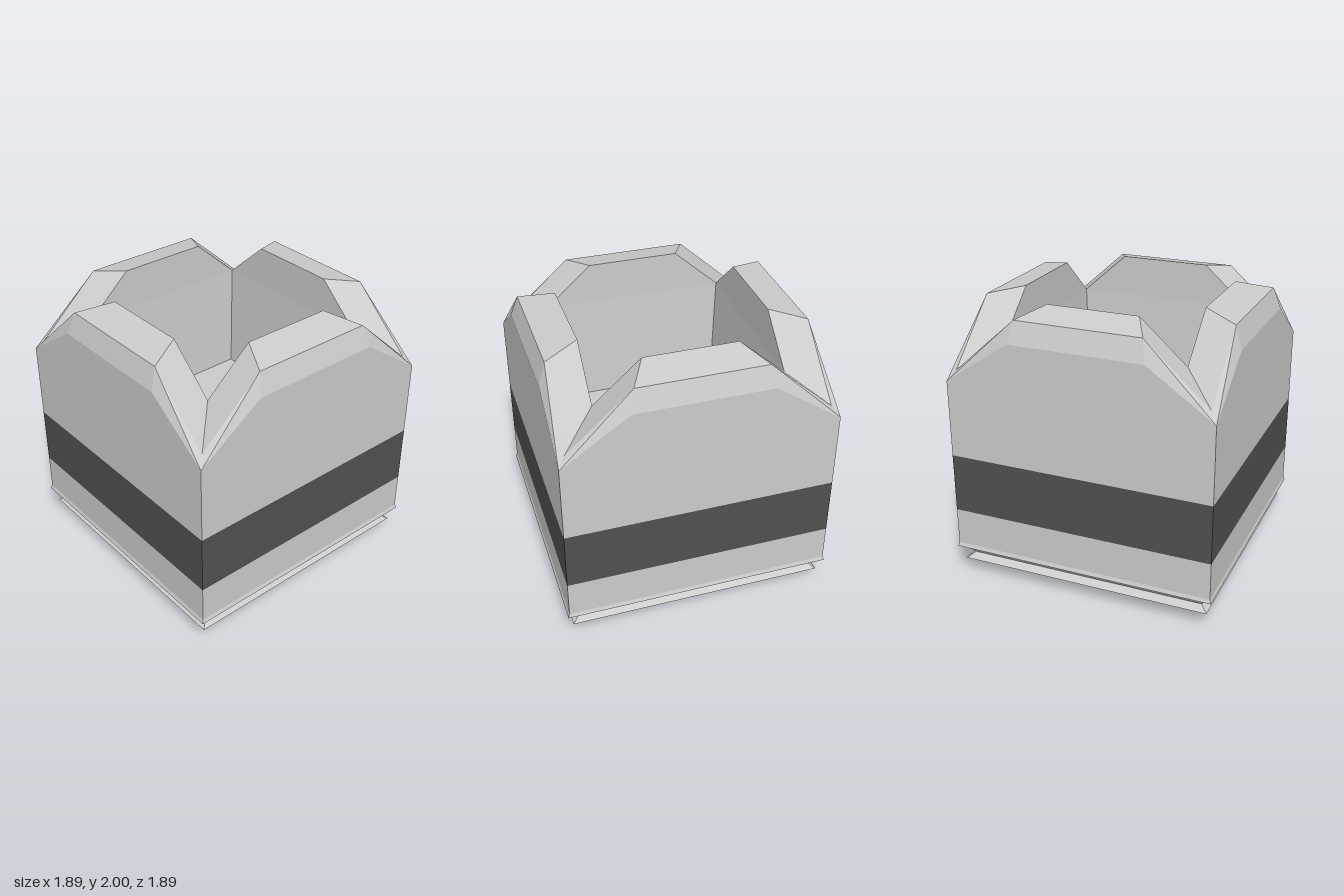
import * as THREE from 'three';

// A row crosses one side of the block: half-width at the corner and its height,
// then half-width of the raised middle and its height.
const row = (corner, yCorner, mid = corner / 2, yMid = yCorner) => [
  [-corner, yCorner, corner],
  [-mid, yMid, corner],
  [mid, yMid, corner],
  [corner, yCorner, corner],
];

// Skin successive rows and repeat them on all four sides.
function squareLoft(name, rows, color = 0xcccccc) {
  const positions = [];
  const up = new THREE.Vector3(0, 1, 0);
  const triangle = (points, angle) => {
    const [a, b, c] = points.map((p) => new THREE.Vector3(...p));
    const area = b.clone().sub(a).cross(c.clone().sub(a)).length();
    if (area < 1e-7) return;
    for (const v of [a, b, c]) positions.push(...v.applyAxisAngle(up, angle).toArray());
  };
  for (let side = 0; side < 4; side++) {
    const angle = side * Math.PI / 2;
    for (let i = 0; i < rows.length - 1; i++) {
      for (let j = 0; j < 3; j++) {
        const a = rows[i][j], b = rows[i][j + 1];
        const c = rows[i + 1][j + 1], d = rows[i + 1][j];
        // Mirror the diagonal so both halves match
        if (j === 2) {
          triangle([a, b, d], angle);
          triangle([b, c, d], angle);
        } else {
          triangle([a, b, c], angle);
          triangle([a, c, d], angle);
        }
      }
    }
  }
  const geometry = new THREE.BufferGeometry();
  geometry.setAttribute('position', new THREE.Float32BufferAttribute(positions, 3));
  geometry.computeVertexNormals();
  const mesh = new THREE.Mesh(geometry, new THREE.MeshStandardMaterial({ color, flatShading: true }));
  mesh.name = name;
  return mesh;
}

export function createModel() {
  const model = new THREE.Group();
  model.name = 'notchedBlock';

  // Stepped foot with a groove, and the plain wall up to the band
  model.add(squareLoft('base', [
    row(0, 0), row(0.66, 0), row(0.685, 0.03), row(0.8, 0.05),
    row(0.905, 0.11), row(0.855, 0.145), row(0.89, 0.195),
    row(0.945, 0.222), row(0.935, 0.25), row(0.935, 0.515),
  ]));

  // Dark band
  model.add(squareLoft('band', [row(0.935, 0.515), row(0.935, 0.935)], 0x505050));

  // Upper wall, bevelled crown with notched corners, and the hollow inside
  model.add(squareLoft('crown', [
    row(0.935, 0.935, 0.47),
    row(0.935, 1.48, 0.47, 1.8),
    row(0.885, 1.55, 0.44, 1.95),
    row(0.645, 1.71, 0.32, 2),
    row(0.645, 1.71, 0.32),
    row(0.61, 0.95, 0.32),
    row(0, 0.95),
  ]));

  return model;
}
